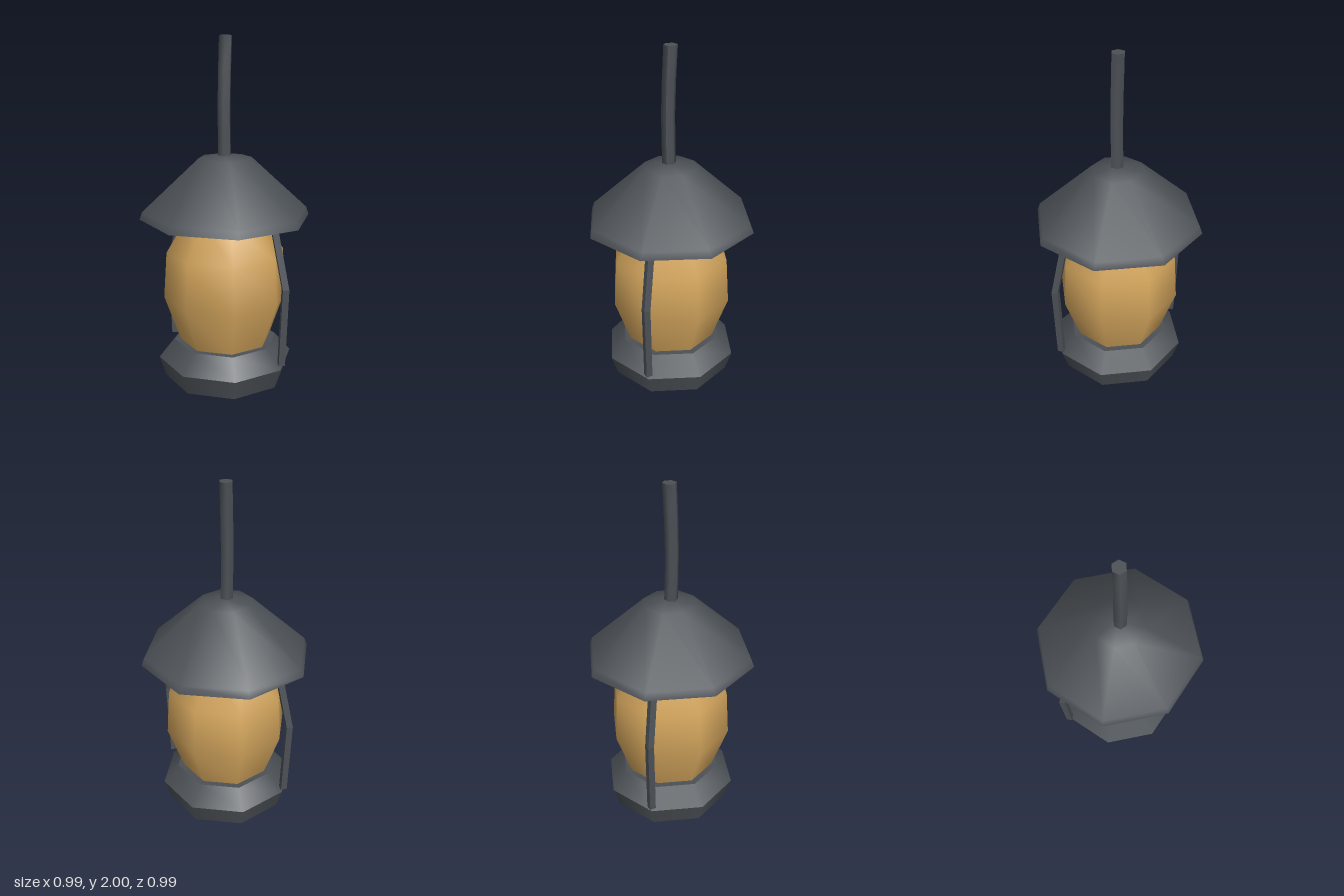
import * as THREE from 'three';

const metal = new THREE.MeshStandardMaterial({ color: 0x4c5156 });
metal.name = 'darkMetal';
const amber = new THREE.MeshStandardMaterial({ color: 0xd2a45c });
amber.name = 'amberGlass';

// Eight-sided turned part; a repeated profile point makes a sharp ring
function turned(name, profile, material) {
  const geometry = new THREE.LatheGeometry(profile.map(([r, y]) => new THREE.Vector2(r, y)), 8);
  geometry.normalizeNormals();
  const mesh = new THREE.Mesh(geometry, material);
  mesh.name = name;
  return mesh;
}

// Capped rod whose rings are placed at the given centres, bottom to top
function bentRod(name, radius, sides, centres, flat) {
  const rings = centres.length - 1;
  let geometry = new THREE.CylinderGeometry(radius, radius, rings, sides, rings, false, Math.PI / 2);
  const p = geometry.attributes.position;
  for (let i = 0; i < p.count; i++) {
    const [x, y, z] = centres[Math.round(p.getY(i) + rings / 2)];
    p.setXYZ(i, p.getX(i) + x, y, p.getZ(i) + z);
  }
  if (flat) geometry = geometry.toNonIndexed();
  geometry.computeVertexNormals();
  const mesh = new THREE.Mesh(geometry, metal);
  mesh.name = name;
  return mesh;
}

export function createModel() {
  const lantern = new THREE.Group();
  lantern.name = 'lantern';

  // Bevelled foot
  lantern.add(turned('base', [
    [0, 0], [0.36, 0], [0.36, 0], [0.398, 0.12], [0.398, 0.12],
    [0.305, 0.23], [0.305, 0.23], [0, 0.23],
  ], metal));

  // Bulging glass, running up inside the roof
  lantern.add(turned('glass', [
    [0.265, 0.22], [0.363, 0.5], [0.345, 0.77], [0.22, 0.985], [0.16, 1.08], [0, 1.08],
  ], amber));

  // Sloping roof with a flat underside
  lantern.add(turned('roof', [
    [0, 0.975], [0.495, 0.975], [0.495, 0.975], [0.478, 1.02],
    [0.152, 1.322], [0.03, 1.34], [0, 1.34],
  ], metal));

  // Slightly bowed hanging rod
  lantern.add(bentRod('hangingRod', 0.039, 6, [
    [0, 1.28, -0.008], [0, 1.45, -0.002 + 0.006], [0, 1.62, -0.012 + 0.024], [0, 1.81, 0.007], [0, 2, -0.002],
  ].map(([x, y, z], i) => (i === 0 ? [x, y, 0.005] : i === 1 ? [x, y, 0.01] : [x, y, z])), false));

  // Bent side braces
  for (const side of [1, -1]) {
    lantern.add(bentRod(side > 0 ? 'leftBrace' : 'rightBrace', 0.026, 4, [
      [side * 0.402, 0.157, 0], [side * 0.421, 0.62, 0], [side * 0.317, 1.06, 0],
    ], true));
  }
  return lantern;
}
